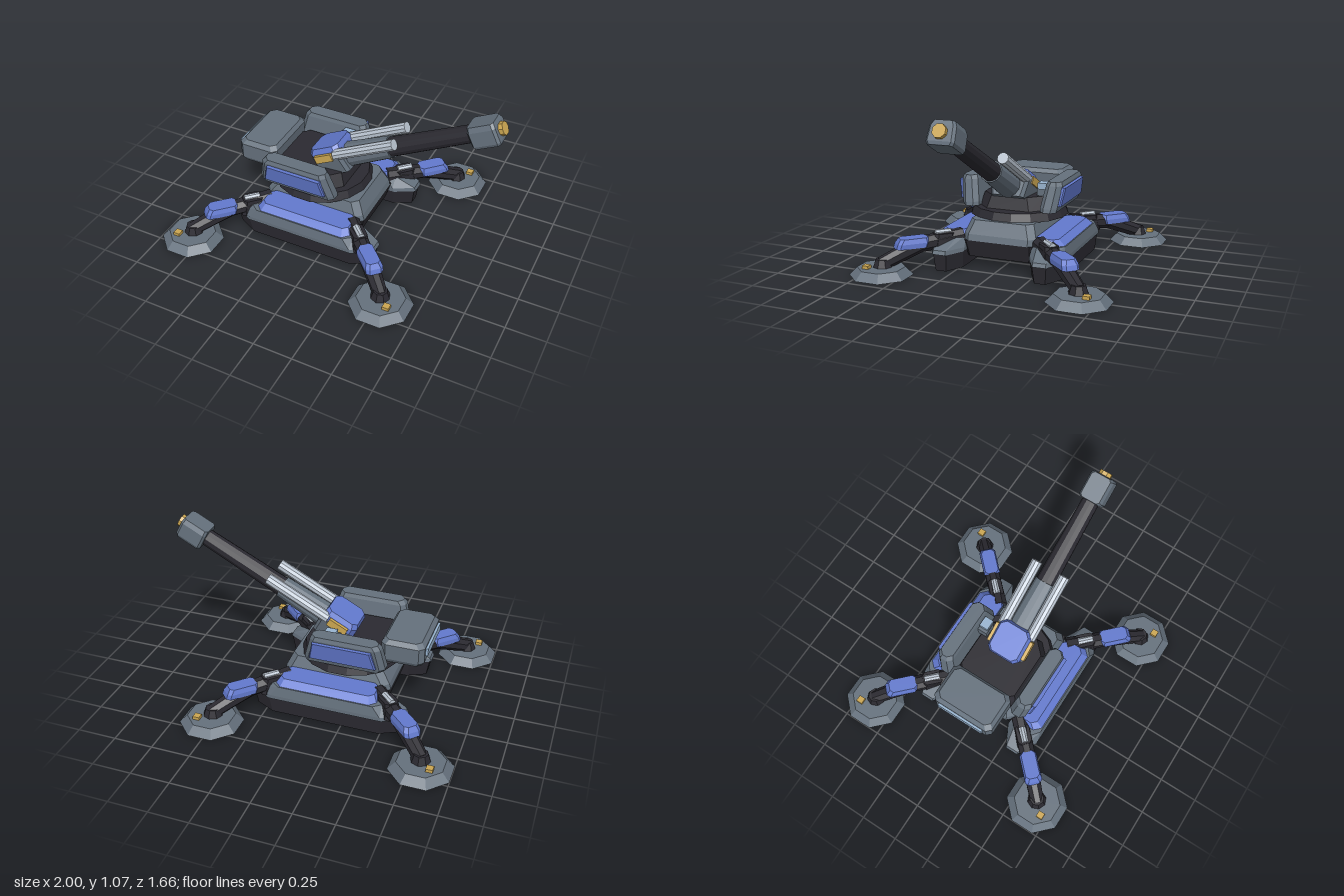
import * as THREE from 'three';

const paint = (name, color) => {
  const m = new THREE.MeshStandardMaterial({ color });
  m.name = name;
  return m;
};

// Stack of chamfered rectangles; each section is [y, x0, x1, z0, z1, chamferX, chamferZ]
function loft(sections) {
  const rings = sections.map(([y, x0, x1, z0, z1, cx = 0.02, cz = cx]) => [
    [x1, z1 - cz], [x1, z0 + cz], [x1 - cx, z0], [x0 + cx, z0],
    [x0, z0 + cz], [x0, z1 - cz], [x0 + cx, z1], [x1 - cx, z1],
  ].map(([x, z]) => [x, y, z]));
  const pos = [];
  const tri = (a, b, c) => pos.push(...a, ...b, ...c);
  for (let r = 0; r + 1 < rings.length; r++) {
    for (let i = 0; i < 8; i++) {
      const j = (i + 1) % 8, lo = rings[r], hi = rings[r + 1];
      tri(lo[i], lo[j], hi[j]);
      tri(lo[i], hi[j], hi[i]);
    }
  }
  const bottom = rings[0], top = rings[rings.length - 1];
  for (let i = 1; i < 7; i++) {
    tri(top[0], top[i], top[i + 1]);
    tri(bottom[0], bottom[i + 1], bottom[i]);
  }
  const g = new THREE.BufferGeometry();
  g.setAttribute('position', new THREE.Float32BufferAttribute(pos, 3));
  return g;
}

// Cylinder lying along x from x0 (radius r0) to x1 (radius r1)
const rod = (x0, x1, r0, r1, sides, y = 0, z = 0) =>
  new THREE.CylinderGeometry(r1, r0, x1 - x0, sides)
    .rotateY(Math.PI / sides).rotateZ(-Math.PI / 2).translate((x0 + x1) / 2, y, z);

const box = (x0, x1, y0, y1, z0, z1) =>
  new THREE.BoxGeometry(x1 - x0, y1 - y0, z1 - z0)
    .translate((x0 + x1) / 2, (y0 + y1) / 2, (z0 + z1) / 2);

// Add a faceted mesh
function add(parent, name, geometry, material) {
  const g = geometry.index ? geometry.toNonIndexed() : geometry;
  g.computeVertexNormals();
  const mesh = new THREE.Mesh(g, material);
  mesh.name = name;
  parent.add(mesh);
  return mesh;
}

function subgroup(parent, name) {
  const g = new THREE.Group();
  g.name = name;
  parent.add(g);
  return g;
}

export function createModel() {
  const dark = paint('darkMetal', 0x2b2a31);
  const grey = paint('greyArmour', 0x65717d);
  const blue = paint('blueArmour', 0x637acf);
  const silver = paint('silver', 0xbac4d0);
  const gold = paint('gold', 0xcca752);
  const glass = paint('paleBlue', 0x9ab6d2);

  const root = new THREE.Group();
  root.name = 'fieldCannon';

  // Central hull
  const base = subgroup(root, 'base');
  add(base, 'lowerHull', loft([
    [0.07, -0.47, 0.17, -0.22, 0.22], [0.18, -0.49, 0.2, -0.235, 0.235]]), dark);
  add(base, 'upperHull', loft([
    [0.18, -0.5, 0.2, -0.24, 0.24, 0.04], [0.22, -0.49, 0.19, -0.24, 0.24, 0.04],
    [0.305, -0.43, 0.15, -0.21, 0.21, 0.04]]), grey);

  // Mirrored side pods
  for (const side of [1, -1]) {
    const mirror = (sections) => loft(sections.map(([y, x0, x1, z0, z1, ...c]) =>
      side > 0 ? [y, x0, x1, z0, z1, ...c] : [y, x0, x1, -z1, -z0, ...c]));
    const label = side > 0 ? 'left' : 'right';

    const pod = subgroup(base, label + 'Pod');
    add(pod, 'podSkirt', mirror([
      [0, -0.61, 0.325, 0.235, 0.425, 0.12, 0.06],
      [0.11, -0.63, 0.34, 0.225, 0.435, 0.12, 0.06]]), dark);
    add(pod, 'podArmour', mirror([
      [0.11, -0.64, 0.35, 0.22, 0.445, 0.13, 0.07],
      [0.135, -0.63, 0.34, 0.22, 0.445, 0.13, 0.07],
      [0.2, -0.5, 0.21, 0.23, 0.435, 0.05, 0.04]]), grey);
    add(pod, 'podCover', mirror([
      [0.198, -0.465, 0.19, 0.235, 0.43, 0.04],
      [0.235, -0.44, 0.165, 0.24, 0.385, 0.03]]), blue);

    // Leaning turret cheeks with a painted panel
    const cheek = subgroup(root, label + 'Cheek');
    add(cheek, 'cheekArmour', mirror([
      [0.36, -0.465, 0.035, 0.21, 0.315, 0.03], [0.385, -0.485, 0.03, 0.21, 0.322, 0.03],
      [0.525, -0.455, -0.01, 0.235, 0.342, 0.03], [0.55, -0.435, -0.02, 0.245, 0.335, 0.03]]), grey);
    add(cheek, 'cheekPanel', mirror([
      [0.398, -0.435, -0.01, 0.3, 0.342, 0.008], [0.515, -0.405, -0.035, 0.32, 0.364, 0.008]]), blue);
  }

  // Turret ring, deck and rear box
  const turret = subgroup(root, 'turret');
  add(turret, 'turretRing', new THREE.CylinderGeometry(0.3, 0.322, 0.055, 16)
    .rotateY(Math.PI / 16).translate(-0.185, 0.328, 0), dark);
  add(turret, 'deck', loft([
    [0.35, -0.5, 0.03, -0.225, 0.225, 0.08], [0.44, -0.47, 0, -0.2, 0.2, 0.08]]), dark);
  add(turret, 'rearBox', loft([
    [0.385, -0.68, -0.44, -0.2, 0.2, 0.03], [0.41, -0.695, -0.43, -0.213, 0.213, 0.03],
    [0.51, -0.695, -0.425, -0.213, 0.213, 0.03], [0.537, -0.67, -0.445, -0.19, 0.19, 0.03]]), grey);
  add(turret, 'rearPlate', box(-0.71, -0.68, 0.45, 0.5, -0.16, 0.16), glass);
  add(turret, 'sensorMount', box(-0.16, -0.08, 0.43, 0.5, -0.225, -0.16), grey);
  add(turret, 'sensor', box(-0.14, -0.07, 0.485, 0.525, -0.225, -0.165), glass);

  // Raised gun, built along x and then tilted
  const gun = subgroup(root, 'gun');
  gun.position.set(0, 0.51, 0);
  gun.rotation.z = 0.48;
  add(gun, 'cradle', loft([
    [-0.07, -0.2, 0.02, -0.11, 0.11], [0.05, -0.2, 0.02, -0.13, 0.13]]), grey);
  add(gun, 'breechCover', loft([
    [0, -0.22, 0.01, -0.115, 0.115, 0.03], [0.09, -0.22, 0.01, -0.115, 0.115, 0.03],
    [0.12, -0.205, 0.005, -0.1, 0.1, 0.03]]), blue);
  add(gun, 'sleeve', rod(0, 0.327, 0.082, 0.071, 12), grey);
  add(gun, 'barrel', rod(0.3, 0.92, 0.064, 0.055, 12), dark);
  add(gun, 'muzzleBlock', loft([
    [-0.07, 0.9, 1.07, -0.075, 0.075, 0.015], [-0.05, 0.896, 1.076, -0.085, 0.085, 0.015],
    [0.04, 0.896, 1.076, -0.08, 0.08, 0.015], [0.07, 0.9, 1.07, -0.065, 0.065, 0.015]]), grey);
  add(gun, 'muzzleTip', rod(1.07, 1.102, 0.042, 0.042, 8), gold);
  for (const side of [1, -1]) {
    add(gun, 'recoilCylinder', rod(-0.03, 0.42, 0.036, 0.036, 10, 0.062, side * 0.1), silver);
    add(gun, 'breechClamp', box(-0.17, -0.04, 0.035, 0.085, -0.012, 0.012)
      .translate(0, 0, side * 0.125), gold);
  }

  // Four diagonal legs, each built outward along x
  for (const sx of [1, -1]) {
    for (const sz of [1, -1]) {
      const leg = subgroup(root, (sz > 0 ? 'front' : 'back') + (sx > 0 ? 'Left' : 'Right') + 'Leg');
      leg.position.set(-0.147 + sx * 0.325, 0, sz * 0.3);
      leg.rotation.y = Math.atan2(-sz, sx);
      const beam = (name, x0, y0, x1, y1, r0, r1) => {
        const length = Math.hypot(x1 - x0, y1 - y0);
        const g = rod(0, length, r0, r1, 8).rotateZ(Math.atan2(y1 - y0, x1 - x0));
        add(leg, name, g.translate(x0, y0, 0), dark);
      };
      beam('upperLeg', -0.05, 0.19, 0.27, 0.16, 0.055, 0.05);
      beam('lowerLeg', 0.24, 0.165, 0.485, 0.065, 0.055, 0.045);
      add(leg, 'hip', loft([
        [0.12, 0.02, 0.16, -0.055, 0.055], [0.225, 0.01, 0.14, -0.045, 0.045]]), dark);
      add(leg, 'hipPiston', rod(0.03, 0.13, 0.022, 0.022, 8, 0.225), silver);
      add(leg, 'legGuard', loft([
        [0.155, 0.19, 0.395, -0.055, 0.055], [0.185, 0.18, 0.385, -0.055, 0.055],
        [0.215, 0.185, 0.365, -0.045, 0.045]]), blue);
      add(leg, 'ankle', new THREE.CylinderGeometry(0.045, 0.065, 0.06, 8)
        .translate(0.475, 0.07, 0), dark);
      add(leg, 'foot', new THREE.CylinderGeometry(0.15, 0.2, 0.05, 8)
        .rotateY(Math.PI / 8).translate(0.485, 0.025, 0), grey);
      add(leg, 'footBolt', new THREE.BoxGeometry(0.042, 0.025, 0.042)
        .rotateY(Math.PI / 4).translate(0.578, 0.058, 0), gold);
    }
  }
  return root;
}
